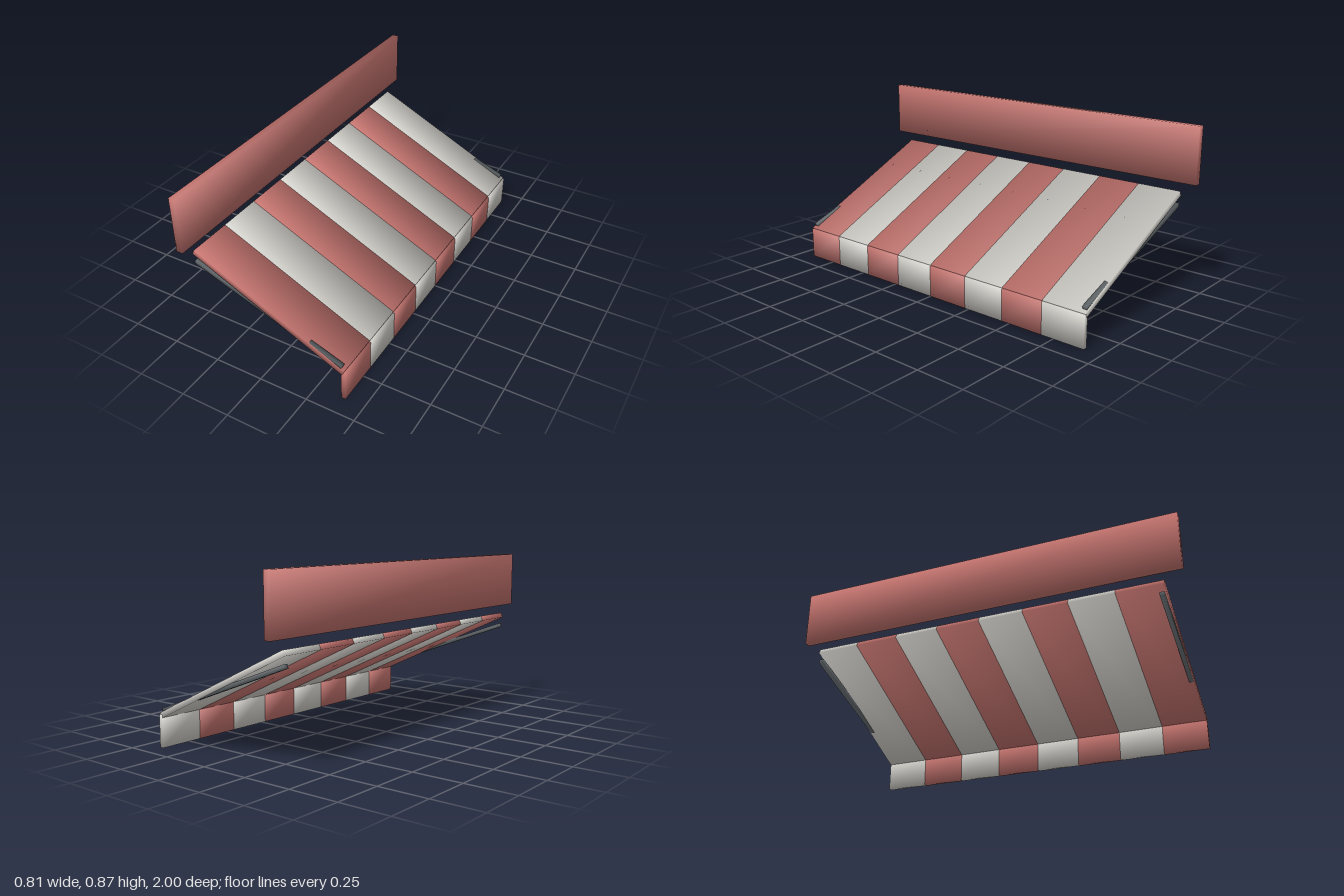
import * as THREE from 'three';

const mat = (color) => new THREE.MeshStandardMaterial({ color });

// Box whose normals point out through its corners, for soft shading
function softBox(w, h, d) {
  const geo = new THREE.BoxGeometry(w, h, d);
  const p = geo.attributes.position;
  const n = 1 / Math.sqrt(3);
  for (let i = 0; i < p.count; i++) {
    geo.attributes.normal.setXYZ(i, Math.sign(p.getX(i)) * n, Math.sign(p.getY(i)) * n, Math.sign(p.getZ(i)) * n);
  }
  return geo;
}

function addBox(parent, name, material, size, pos) {
  const mesh = new THREE.Mesh(softBox(...size), material);
  mesh.name = name;
  mesh.position.set(...pos);
  parent.add(mesh);
  return mesh;
}

// Sloping bar between two points in the xy plane
function addBar(parent, name, material, a, b, thickness, width, z) {
  const dx = b[0] - a[0], dy = b[1] - a[1];
  const bar = addBox(parent, name, material, [Math.hypot(dx, dy), thickness, width],
    [(a[0] + b[0]) / 2, (a[1] + b[1]) / 2, z]);
  bar.rotation.z = Math.atan2(dy, dx);
  return bar;
}

export function createModel() {
  const model = new THREE.Group();
  model.name = 'awning';
  const red = mat(0xc87671), pale = mat(0xd8d6d0), dark = mat(0x60666a);

  // Long sign board at the wall
  addBox(model, 'signBoard', red, [0.034, 0.285, 2], [-0.39, 0.7275, 0]);

  // Alternating canopy stripes, each with its hanging valance
  const count = 8, width = 1.824 / count;
  const canopy = new THREE.Group();
  canopy.name = 'canopy';
  const valance = new THREE.Group();
  valance.name = 'valance';
  for (let i = 0; i < count; i++) {
    const z = (i - (count - 1) / 2) * width;
    const material = i % 2 ? red : pale;
    addBar(canopy, 'canopyStripe', material, [-0.395, 0.527], [0.393, 0.155], 0.027, width, z);
    addBox(valance, 'valanceStripe', material, [0.022, 0.16, width], [0.393, 0.08, z]);
  }
  model.add(canopy, valance);

  // Support arms under both ends
  for (const side of [-1, 1]) {
    addBar(model, 'supportArm', dark, [-0.395, 0.47], [0.383, 0.18], 0.021, 0.022, side * 0.897);
  }
  return model;
}
